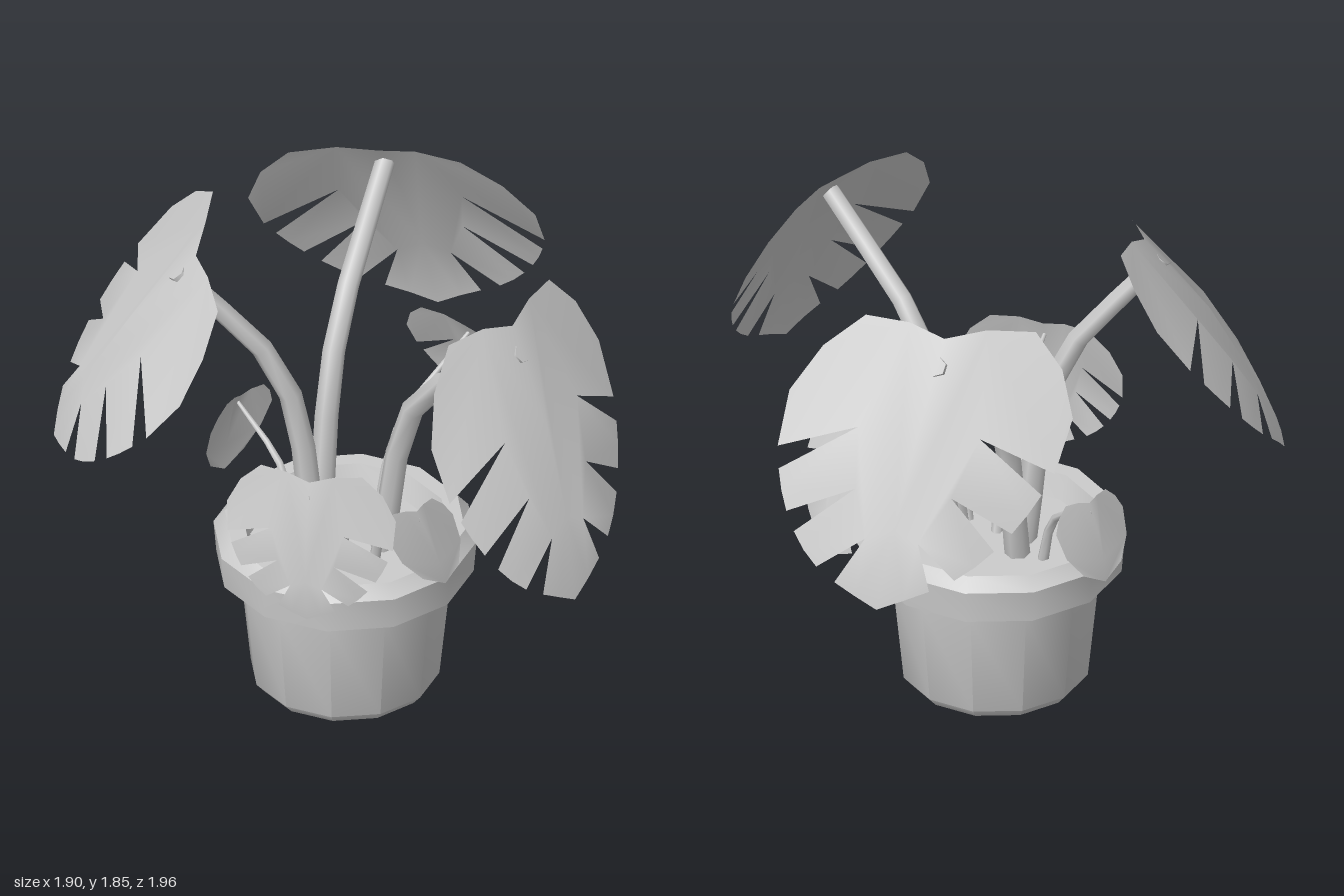
import * as THREE from 'three';
import { mergeVertices, toCreasedNormals } from 'three/addons/utils/BufferGeometryUtils.js';

const material = new THREE.MeshStandardMaterial({ color: 0xcccccc, roughness: 0.8 });
const leafMaterial = new THREE.MeshStandardMaterial({ color: 0xcccccc, roughness: 0.8, side: THREE.DoubleSide });
const V = (a) => new THREE.Vector3(...a);
const P = ([x, y]) => new THREE.Vector2(x, y);

// Edge of half a blade (across, along) from the stem notch round to the tip
const edge = new THREE.SplineCurve([[0, 0], [.6, -.05], [1, .25], [.9, .57], [.55, .84], [0, 1]].map(P));

// Half outline; a split blade has slits running in from the edge towards the midrib
function halfOutline(split) {
  const at = (t) => edge.getPoint(t);
  const points = [0, .1, .2, .3, .4].map(at);
  if (split) {
    for (const s of [.55, .7, .85]) {
      const inner = at(s);
      inner.set(inner.x * .45, inner.y - .15);
      points.push(at(s - .025), inner, at(s + .025), at(s + .075));
    }
  } else points.push(at(.6), at(.8));
  return [...points, at(1), P([0, .7]), P([0, .37])];
}

// Surface of a blade: edges droop and the middle arches along its length
function bladeSurface({ base, tip, heading, width, lift = 0 }) {
  const a = THREE.MathUtils.degToRad(heading);
  const origin = V(base), down = V(tip).sub(origin);
  const across = V([width * Math.cos(a), lift, -width * Math.sin(a)]);
  const normal = down.clone().cross(across).normalize();
  return (u, v) => origin.clone().addScaledVector(across, u).addScaledVector(down, v)
    .addScaledVector(normal, width * (-.25 * u * u + .55 * v * (1 - v)));
}

function bladeGeometry(surface, split) {
  const half = halfOutline(split);
  const faces = THREE.ShapeUtils.triangulateShape(half, []);
  const points = [], index = [];
  for (const s of [1, -1]) {
    const offset = points.length;
    points.push(...half.map(({ x, y }) => surface(s * x, y)));
    for (const [a, b, c] of faces) {
      // Turn every triangle towards the upper side of the leaf
      const ab = half[b].clone().sub(half[a]), ac = half[c].clone().sub(half[a]);
      const flip = ab.cross(ac) * s > 0;
      index.push(offset + a, offset + (flip ? c : b), offset + (flip ? b : c));
    }
  }
  const g = new THREE.BufferGeometry().setFromPoints(points);
  g.setIndex(index);
  const merged = mergeVertices(g, 1e-4);
  merged.computeVertexNormals();
  return merged;
}

// Stem: rises steeply from the soil, bends at an elbow and tapers towards the blade
function stemGeometry(foot, end, r0, r1) {
  const start = V([foot[0], .5, foot[1]]);
  const elbow = start.clone().lerp(end, .25);
  elbow.y = THREE.MathUtils.lerp(start.y, end.y, .62);
  const curve = new THREE.CatmullRomCurve3([start, elbow, end]);
  const segments = 6, sides = 6;
  const g = new THREE.TubeGeometry(curve, segments, r0, sides);
  const pos = g.attributes.position, p = new THREE.Vector3();
  for (let i = 0; i < pos.count; i++) {
    const t = Math.floor(i / (sides + 1)) / segments;
    const centre = curve.getPointAt(t);
    p.fromBufferAttribute(pos, i).sub(centre).multiplyScalar(THREE.MathUtils.lerp(1, r1 / r0, t)).add(centre);
    pos.setXYZ(i, p.x, p.y, p.z);
  }
  return g;
}

// Foot of the stem (x, z), both ends of the blade, the compass angle it faces and its half width
const LEAVES = [
  { name: 'frontLargeLeaf', foot: [.05, -.03], base: [.18, 1.72, .56], tip: [.12, .84, 1], heading: 13, width: .45 },
  { name: 'rightLargeLeaf', foot: [-.11, -.18], base: [-.47, 1.76, -.4], tip: [-.83, .98, -.74], heading: -125, width: .43, lift: -.13 },
  { name: 'leftLargeLeaf', foot: [-.05, -.25], base: [.45, 1.74, -.57], tip: [.84, .86, -.75], heading: 137, width: .5 },
  { name: 'rightSmallLeaf', foot: [-.05, -.1], base: [-.43, 1.12, .2], tip: [-.47, .59, .24], heading: -50, width: .3 },
  { name: 'leftSmallLeaf', foot: [.1, -.13], base: [.5, 1.22, -.15], tip: [.67, .74, -.19], heading: 98, width: .28 },
  { name: 'backSmallLeaf', foot: [-.1, -.32], base: [-.11, .92, -.62], tip: [-.15, .61, -.66], heading: 188, width: .15 },
  { name: 'frontSmallLeaf', foot: [-.02, .02], base: [-.07, .93, .34], tip: [.04, .6, .36], heading: 0, width: .14 },
];

function mesh(name, geometry, mat = material) {
  const m = new THREE.Mesh(geometry, mat);
  m.name = name;
  return m;
}

export function createModel() {
  const model = new THREE.Group();
  model.name = 'pottedPlant';

  // Twelve-sided pot with a thick rounded rim, open down to the soil
  const pot = new THREE.Group();
  pot.name = 'pot';
  pot.position.set(-.035, 0, -.12);
  const profile = [[0, 0], [.3, 0], [.33, .035], [.37, .43], [.45, .47], [.46, .59],
    [.42, .637], [.36, .637], [.315, .5]].map(P);
  pot.add(mesh('potBody', toCreasedNormals(new THREE.LatheGeometry(profile, 12, Math.PI / 12), 0.65)));
  const soil = mesh('soil', new THREE.CircleGeometry(.335, 12, Math.PI / 12));
  soil.rotation.x = -Math.PI / 2;
  soil.position.y = .55;
  pot.add(soil);
  model.add(pot);

  // Leaves on their stems: the two smallest blades are whole, the others split
  for (const leaf of LEAVES) {
    const group = new THREE.Group();
    group.name = leaf.name;
    const surface = bladeSurface(leaf);
    const radii = leaf.width > .4 ? [.045, .035] : [.022, .007];
    group.add(mesh('blade', bladeGeometry(surface, leaf.width > .2), leafMaterial));
    group.add(mesh('stem', stemGeometry(leaf.foot, surface(0, .1), ...radii)));
    model.add(group);
  }
  return model;
}
